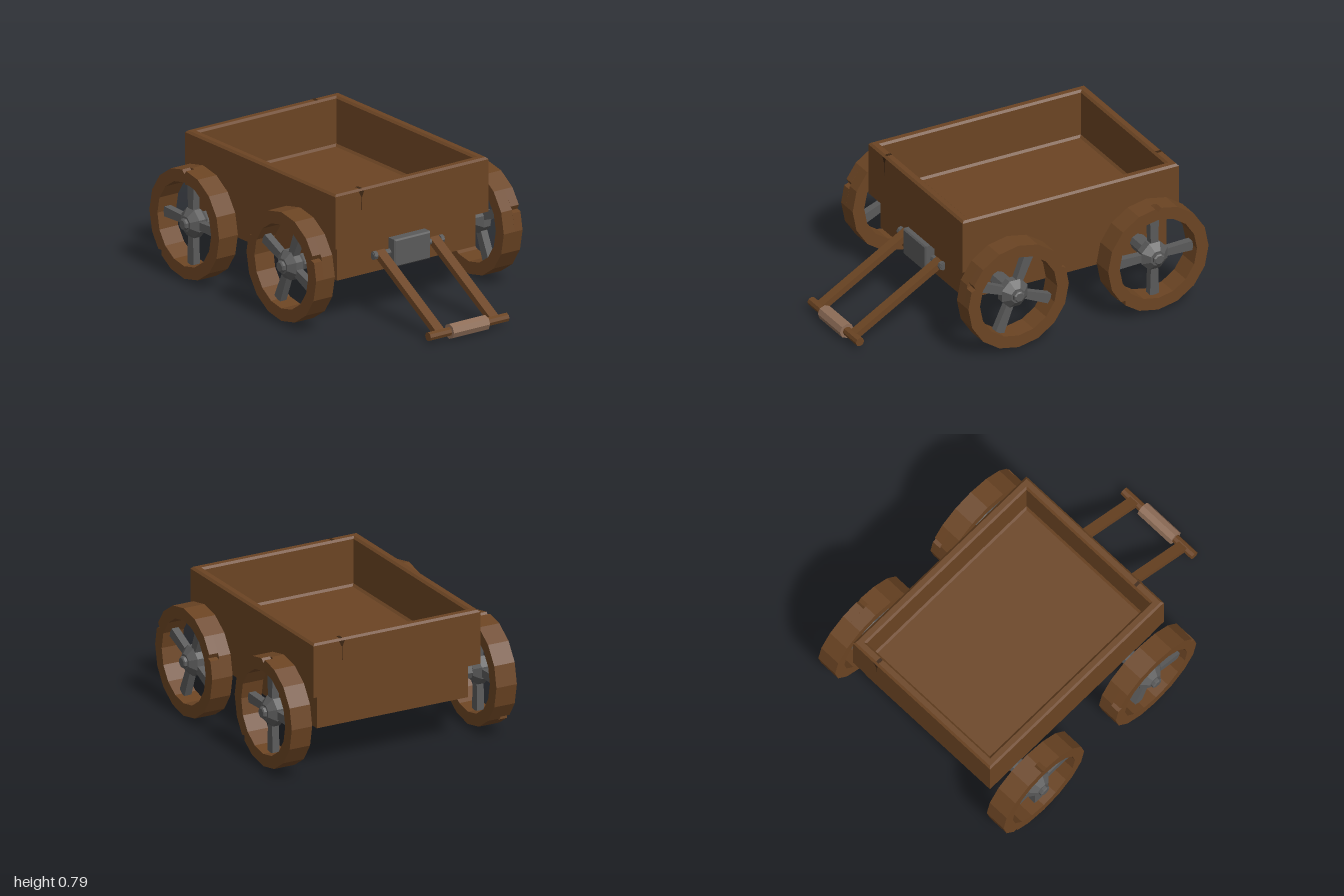
import * as THREE from 'three';

const wood = new THREE.MeshStandardMaterial({ color: 0x6b4423 });
wood.name = 'brown wood';
const iron = new THREE.MeshStandardMaterial({ color: 0x5a5a5a });
iron.name = 'grey iron';
const wrap = new THREE.MeshStandardMaterial({ color: 0x8f6e58 });
wrap.name = 'pale grip';
const crack = new THREE.MeshStandardMaterial({ color: 0x3c2512 });
crack.name = 'dark crack';

function add(parent, name, geometry, material, x = 0, y = 0, z = 0) {
  const mesh = new THREE.Mesh(geometry, material);
  mesh.name = name;
  mesh.position.set(x, y, z);
  parent.add(mesh);
  return mesh;
}

function faceted(geometry) {
  const g = geometry.index ? geometry.toNonIndexed() : geometry;
  g.computeVertexNormals();
  return g;
}

// Faceted turned part along z, from [radius, z] pairs
function turned(points, sides = 8) {
  const g = new THREE.LatheGeometry(points.map(p => new THREE.Vector2(...p)), sides, Math.PI / sides);
  return faceted(g.rotateX(Math.PI / 2).scale(1, 1, 1));
}

function bar(radius, length, sides = 8) {
  return faceted(new THREE.CylinderGeometry(radius, radius, length, sides).rotateX(Math.PI / 2));
}

// Rectangular ring swept around a tray: profile is [inset, y] pairs
function rectangularRing(profile, halfX, halfZ) {
  const points = profile.map(([inset, y]) => new THREE.Vector2(1 - inset, y));
  const g = new THREE.LatheGeometry(points, 4, Math.PI / 4);
  const p = g.attributes.position;
  for (let i = 0; i < p.count; i++) {
    const inset = 1 - Math.hypot(p.getX(i), p.getZ(i));
    p.setX(i, Math.sign(p.getX(i)) * (halfX - inset));
    p.setZ(i, Math.sign(p.getZ(i)) * (halfZ - inset));
  }
  return faceted(g);
}

// Sixteen-sided rim slice, with optional chipped corners at the given indices
function rimSlice(depth, chips = []) {
  const outer = [], R = 0.318, sides = 16;
  const at = (a, r) => new THREE.Vector2(Math.cos(a) * r, Math.sin(a) * r);
  for (let i = 0; i < sides; i++) {
    const a = i / sides * Math.PI * 2;
    if (chips.includes(i)) outer.push(at(a - 0.06, R * 0.993), at(a, R - 0.025), at(a + 0.06, R * 0.993));
    else outer.push(at(a, R));
  }
  const shape = new THREE.Shape(outer);
  const inner = [];
  for (let i = 0; i < sides; i++) inner.push(at(i / sides * Math.PI * 2, 0.245));
  shape.holes.push(new THREE.Path(inner));
  return new THREE.ExtrudeGeometry(shape, { depth, bevelEnabled: false });
}

function makeWheel(phase, chips) {
  const wheel = new THREE.Group();
  add(wheel, 'rimInner', rimSlice(0.075), wood, 0, 0, -0.065);
  add(wheel, 'rimOuter', rimSlice(0.055, chips), wood, 0, 0, 0.01);
  // Four spokes, slightly wider at the rim
  const spoke = new THREE.Shape([[0.05, -0.022], [0.245, -0.029], [0.245, 0.029], [0.05, 0.022]]
    .map(p => new THREE.Vector2(...p)));
  for (let i = 0; i < 4; i++) {
    const g = new THREE.ExtrudeGeometry(spoke, { depth: 0.044, bevelEnabled: false });
    add(wheel, 'spoke', g, iron, 0, 0, -0.022).rotation.z = phase + i * Math.PI / 2;
  }
  add(wheel, 'hub', turned([[0, -0.06], [0.05, -0.06], [0.088, -0.022], [0.088, 0.022],
    [0.045, 0.058], [0.034, 0.058], [0.034, 0.074], [0.026, 0.08], [0, 0.08]]), iron);
  add(wheel, 'axleStub', bar(0.048, 0.22), iron, 0, 0, -0.14);
  return wheel;
}

export function createModel() {
  const wagon = new THREE.Group();
  wagon.name = 'wagon';

  // Tray: hollow skirt below, overhanging chamfered walls above
  const tray = new THREE.Group();
  tray.name = 'tray';
  tray.position.x = -0.235;
  wagon.add(tray);
  add(tray, 'walls', rectangularRing([[0.11, 0.47], [0.11, 0.262], [0.05, 0.262], [0.05, 0.467], [0, 0.467],
    [0, 0.773], [0.012, 0.785], [0.043, 0.785], [0.055, 0.773], [0.055, 0.51], [0.07, 0.495]], 0.685, 0.53), wood);
  add(tray, 'floor', new THREE.BoxGeometry(1.25, 0.035, 0.94), wood, 0, 0.48, 0);

  // Cracks at the top of the two end walls
  const split = new THREE.Shape([[-0.018, 0.773], [0, 0.74], [0.002, 0.66], [0.004, 0.74], [0.018, 0.773]]
    .map(p => new THREE.Vector2(...p)));
  for (const side of [1, -1]) {
    const g = new THREE.ExtrudeGeometry(split, { depth: 0.003, bevelEnabled: false });
    add(tray, 'crack', g, crack, side * 0.684, 0, side * 0.35).rotation.y = side * Math.PI / 2;
    add(tray, 'crackTop', new THREE.BoxGeometry(0.032, 0.003, 0.018), crack, side * 0.658, 0.785, side * 0.35);
  }

  // Wheels, turned about for the far side
  const axles = [['backWheel', -0.685, 0, [4, 10]], ['frontWheel', 0.2, 1.17, [7, 1]]];
  for (const [name, x, phase, chips] of axles) {
    for (const side of [1, -1]) {
      const wheel = makeWheel(phase, chips);
      wheel.name = name;
      wheel.position.set(x, 0.339, side * 0.65);
      if (side < 0) wheel.rotation.y = Math.PI;
      wagon.add(wheel);
    }
  }

  // Pull handle hinged on an iron block
  const handle = new THREE.Group();
  handle.name = 'pullHandle';
  wagon.add(handle);
  const hinge = new THREE.Vector2(0.41, 0.36), end = new THREE.Vector2(0.955, 0.045);
  const block = new THREE.Shape([[-0.125, -0.08], [0.125, -0.08], [0.125, 0.08], [-0.125, 0.08]]
    .map(([a, b]) => new THREE.Vector2(a - Math.sign(a) * 0.008, b - Math.sign(b) * 0.008)));
  add(handle, 'hingeBlock', new THREE.ExtrudeGeometry(block, {
    depth: 0.064, bevelSize: 0.008, bevelThickness: 0.008, bevelSegments: 1
  }).rotateY(Math.PI / 2), iron, 0.388, 0.36, 0);
  add(handle, 'hingeRod', bar(0.018, 0.49), iron, hinge.x, hinge.y, 0);
  for (const side of [1, -1]) {
    add(handle, 'hingeNut', bar(0.025, 0.022), iron, hinge.x, hinge.y, side * 0.23);
    const length = hinge.distanceTo(end) + 0.03;
    const arm = add(handle, 'arm', new THREE.BoxGeometry(length, 0.036, 0.06), wood,
      (hinge.x + end.x) / 2, (hinge.y + end.y) / 2, side * 0.188);
    arm.rotation.z = Math.atan2(end.y - hinge.y, end.x - hinge.x);
  }
  add(handle, 'crossBar', bar(0.026, 0.545), wood, end.x, end.y, 0);
  add(handle, 'grip', bar(0.044, 0.25), wrap, end.x, end.y, 0);
  return wagon;
}
